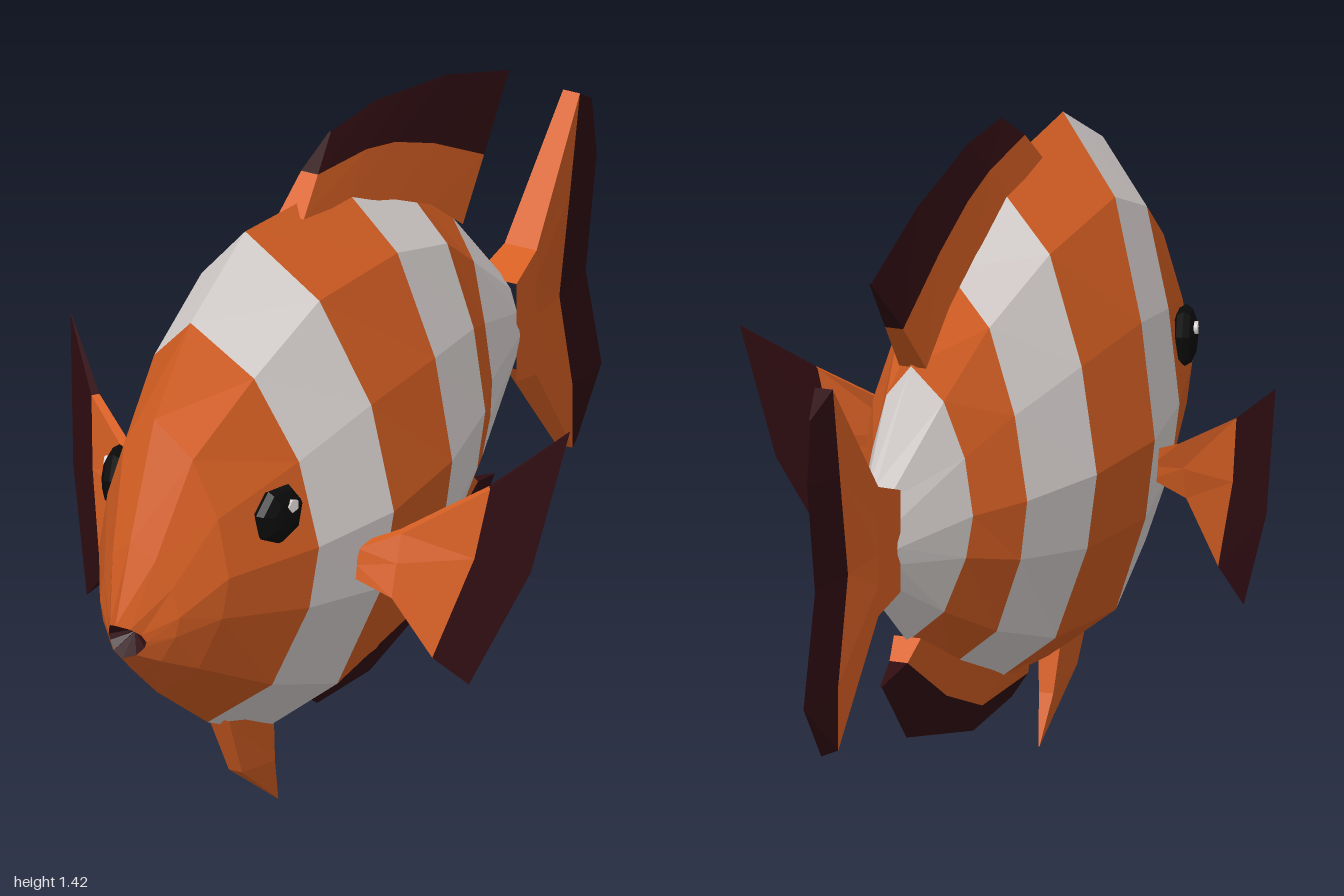
import * as THREE from 'three';

const colour = (name, hex) => Object.assign(new THREE.MeshStandardMaterial({ color: hex }), { name });

// Skins a list of closed rings; bandMats[i] colours the band between ring i and i + 1.
function loft(name, rings, bandMats) {
  const n = rings[0].length;
  const centre = new THREE.Vector3();
  rings.flat().forEach((p) => centre.addScaledVector(p, 1 / (n * rings.length)));
  const tris = [];
  let volume = 0;
  const add = (a, b, c, band) => {
    const normal = b.clone().sub(a).cross(c.clone().sub(a));
    if (normal.length() < 1e-8) return;
    volume += normal.dot(a.clone().sub(centre));
    tris.push({ pts: [a, b, c], band });
  };
  for (let i = 0; i < rings.length - 1; i++) {
    for (let j = 0; j < n; j++) {
      const k = (j + 1) % n;
      add(rings[i][j], rings[i][k], rings[i + 1][k], i);
      add(rings[i][j], rings[i + 1][k], rings[i + 1][j], i);
    }
  }
  // Faces always point outwards, whichever way the rings run
  const points = tris.flatMap((t) => (volume < 0 ? [t.pts[0], t.pts[2], t.pts[1]] : t.pts));
  const geometry = new THREE.BufferGeometry().setFromPoints(points);
  geometry.computeVertexNormals();
  const mats = [...new Set(bandMats)];
  tris.forEach((t, i) => geometry.addGroup(i * 3, 3, mats.indexOf(bandMats[t.band])));
  const mesh = new THREE.Mesh(geometry, mats);
  mesh.name = name;
  return mesh;
}

// Tapered fin: rows of [x, y, z] points run from root to edge, thickened along a direction.
function fin(name, rows, halfThickness, normal, bandMats) {
  const rings = rows.map((row, i) => {
    const side = (s) => row.map((p) =>
      new THREE.Vector3(...p).addScaledVector(normal, s * halfThickness[i]));
    return [...side(1), ...side(-1).reverse()];
  });
  return loft(name, rings, bandMats);
}

// Cross-section outline: [fraction down from the top, fraction of the half width]
const OUTLINE = [[0, 0], [0.13, 0.53], [0.34, 0.85], [0.55, 1], [0.7, 0.91], [0.89, 0.6], [1, 0]];

function bodyRing([zTop, yTop, zMid, zBottom, yBottom, width]) {
  const half = (s) => OUTLINE.map(([f, w]) => {
    // The ring bows in z through its top, middle and bottom
    const z = zTop * (f - 0.55) * (f - 1) / 0.55
      + zMid * f * (f - 1) / (0.55 * -0.45)
      + zBottom * f * (f - 0.55) / 0.45;
    return new THREE.Vector3(s * w * width, THREE.MathUtils.lerp(yTop, yBottom, f), z);
  });
  return [...half(1), ...half(-1).slice(1, -1).reverse()];
}

export function createModel() {
  const orange = colour('orange', 0xd86024);
  const white = colour('white', 0xe0d9d7);
  const maroon = colour('dark maroon', 0x300d12);
  const black = colour('black', 0x0b0b0c);
  const fish = new THREE.Group();
  fish.name = 'fish';

  // Striped body: zTop, yTop, zMid, zBottom, yBottom, half width
  const stations = [
    [0.92, 0.63, 0.92, 0.92, 0.61, 0],
    [1.0, 0.655, 0.95, 0.97, 0.57, 0.045],
    [0.94, 0.82, 0.9, 0.92, 0.52, 0.095],
    [0.84, 1.06, 0.8, 0.83, 0.44, 0.155],
    [0.69, 1.22, 0.55, 0.62, 0.29, 0.225],
    [0.465, 1.34, 0.31, 0.4, 0.185, 0.265],
    [0.08, 1.305, 0.035, 0.06, 0.22, 0.245],
    [-0.19, 1.19, -0.205, -0.18, 0.325, 0.185],
    [-0.39, 1.04, -0.345, -0.41, 0.45, 0.12],
    [-0.585, 0.84, -0.585, -0.585, 0.6, 0.048],
    [-0.585, 0.72, -0.585, -0.585, 0.72, 0],
  ];
  fish.add(loft('body', stations.map(bodyRing),
    [maroon, orange, orange, orange, white, orange, white, orange, white, white]));

  // Fins on the centre line, as [z, y] rows
  const across = new THREE.Vector3(1, 0, 0);
  const centreFin = (name, rows, thickness, mats) => fish.add(
    fin(name, rows.map((r) => r.map(([z, y]) => [0, y, z])), thickness, across, mats));

  centreFin('dorsalFin', [
    [[0.275, 1.3], [0.1, 1.27], [-0.1, 1.2], [-0.25, 1.13], [-0.38, 1.035]],
    [[0.2, 1.37], [0.0, 1.35], [-0.12, 1.32], [-0.28, 1.255], [-0.485, 1.15]],
    [[0.115, 1.43], [-0.07, 1.43], [-0.2, 1.405], [-0.36, 1.375], [-0.62, 1.285]],
  ], [0.03, 0.02, 0.002], [orange, maroon]);

  centreFin('analFin', [
    [[0.2, 0.23], [0.05, 0.25], [-0.18, 0.345], [-0.41, 0.46]],
    [[0.22, 0.2], [-0.04, 0.205], [-0.24, 0.285], [-0.46, 0.42]],
    [[0.17, 0.16], [-0.045, 0.15], [-0.42, 0.245], [-0.56, 0.395]],
  ], [0.03, 0.02, 0.002], [orange, maroon]);

  centreFin('pelvicFin', [
    [[0.575, 0.28], [0.39, 0.22]],
    [[0.505, 0.135], [0.37, 0.11]],
    [[0.335, 0.008], [0.33, 0.005]],
  ], [0.025, 0.016, 0.001], [orange, orange]);

  centreFin('tailFin', [
    [[-0.57, 0.83], [-0.57, 0.78], [-0.57, 0.72], [-0.57, 0.66], [-0.57, 0.61]],
    [[-0.67, 0.865], [-0.67, 0.8], [-0.67, 0.72], [-0.67, 0.65], [-0.67, 0.585]],
    [[-0.88, 1.135], [-0.84, 0.93], [-0.795, 0.71], [-0.85, 0.485], [-0.85, 0.345]],
    [[-0.96, 1.09], [-0.98, 0.955], [-0.935, 0.71], [-1, 0.475], [-0.9, 0.345]],
  ], [0.048, 0.038, 0.02, 0.002], [orange, orange, maroon]);

  for (const [label, s] of [['left', 1], ['right', -1]]) {
    // Swept-back pectoral fin
    const rows = [
      [[0.23, 0.655, 0.4], [0.23, 0.62, 0.405], [0.23, 0.59, 0.41]],
      [[0.31, 0.69, 0.36], [0.31, 0.63, 0.38], [0.31, 0.56, 0.4]],
      [[0.47, 0.79, 0.27], [0.45, 0.64, 0.3], [0.39, 0.43, 0.37]],
      [[0.595, 0.9, 0.155], [0.545, 0.6, 0.23], [0.455, 0.365, 0.33]],
    ].map((r) => r.map(([x, y, z]) => [s * x, y, z]));
    fish.add(fin(label + 'PectoralFin', rows, [0.014, 0.012, 0.009, 0.001],
      new THREE.Vector3(s * 0.58, 0, 0.815), [orange, orange, maroon]));

    // Flattened faceted eye with a small glint
    const eye = new THREE.Group();
    eye.name = label + 'Eye';
    const ball = new THREE.SphereGeometry(0.066, 7, 6).rotateZ(Math.PI / 2)
      .scale(0.42, 1, 1).toNonIndexed();
    ball.computeVertexNormals();
    const eyeball = new THREE.Mesh(ball, black);
    eyeball.name = 'eyeball';
    const glint = new THREE.Mesh(
      new THREE.CylinderGeometry(0.015, 0.015, 0.008, 5).rotateZ(Math.PI / 2), white);
    glint.name = 'glint';
    glint.position.set(s * 0.025, 0.022, -0.018);
    eye.add(eyeball, glint);
    eye.position.set(s * 0.193, 0.82, 0.662);
    eye.rotation.y = -s * 0.28;
    fish.add(eye);
  }
  return fish;
}
